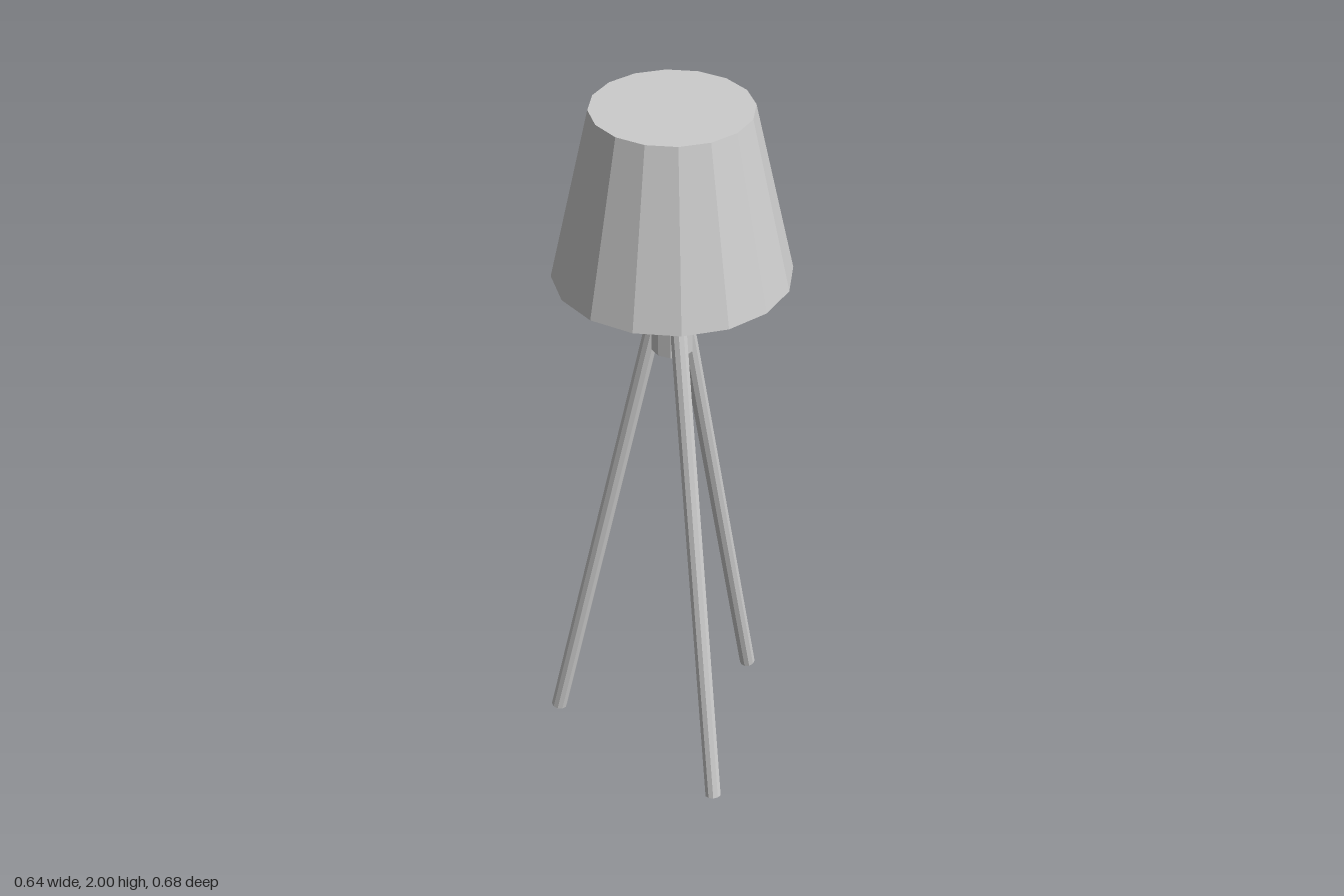
import * as THREE from 'three';

export function createModel() {
  const grey = new THREE.MeshStandardMaterial({ color: 0xcccccc, flatShading: true });
  grey.name = 'light grey';

  const model = new THREE.Group();
  model.name = 'tripodFloorLamp';

  // Everything sits around one vertical axis, slightly forward of the centre
  const lamp = new THREE.Group();
  lamp.name = 'lamp';
  lamp.position.z = 0.024;
  model.add(lamp);

  const add = (parent, name, geometry) => {
    const mesh = new THREE.Mesh(geometry, grey);
    mesh.name = name;
    parent.add(mesh);
    return mesh;
  };

  // Closed shade with a shallow recess underneath
  const profile = [[0, 1.55], [0.29, 1.55], [0.313, 1.53], [0.209, 2], [0, 2]]
    .map(([r, y]) => new THREE.Vector2(r, y));
  add(lamp, 'shade', new THREE.LatheGeometry(profile, 16));

  // Stem and hub
  add(lamp, 'stem', new THREE.CylinderGeometry(0.019, 0.019, 0.14, 10)).position.y = 1.48;
  add(lamp, 'hub', new THREE.CylinderGeometry(0.057, 0.057, 0.153, 10)).position.y = 1.3765;

  // Three splayed legs: one behind, two in front
  const foot = { r: 0.343, y: 0.005 };
  const top = { r: 0.045, y: 1.39 };
  const rise = top.y - foot.y;
  const run = foot.r - top.r;
  const legGeometry = new THREE.CylinderGeometry(0.0225, 0.0225, Math.hypot(rise, run), 10);
  legGeometry.rotateY(Math.PI / 2);
  ['backLeg', 'frontRightLeg', 'frontLeftLeg'].forEach((name, i) => {
    const pivot = new THREE.Group();
    pivot.name = name + 'Pivot';
    pivot.rotation.y = i * Math.PI * 2 / 3;
    lamp.add(pivot);
    const leg = add(pivot, name, legGeometry);
    leg.position.set(0, (foot.y + top.y) / 2, -(foot.r + top.r) / 2);
    leg.rotation.x = Math.atan2(run, rise);
  });

  return model;
}
